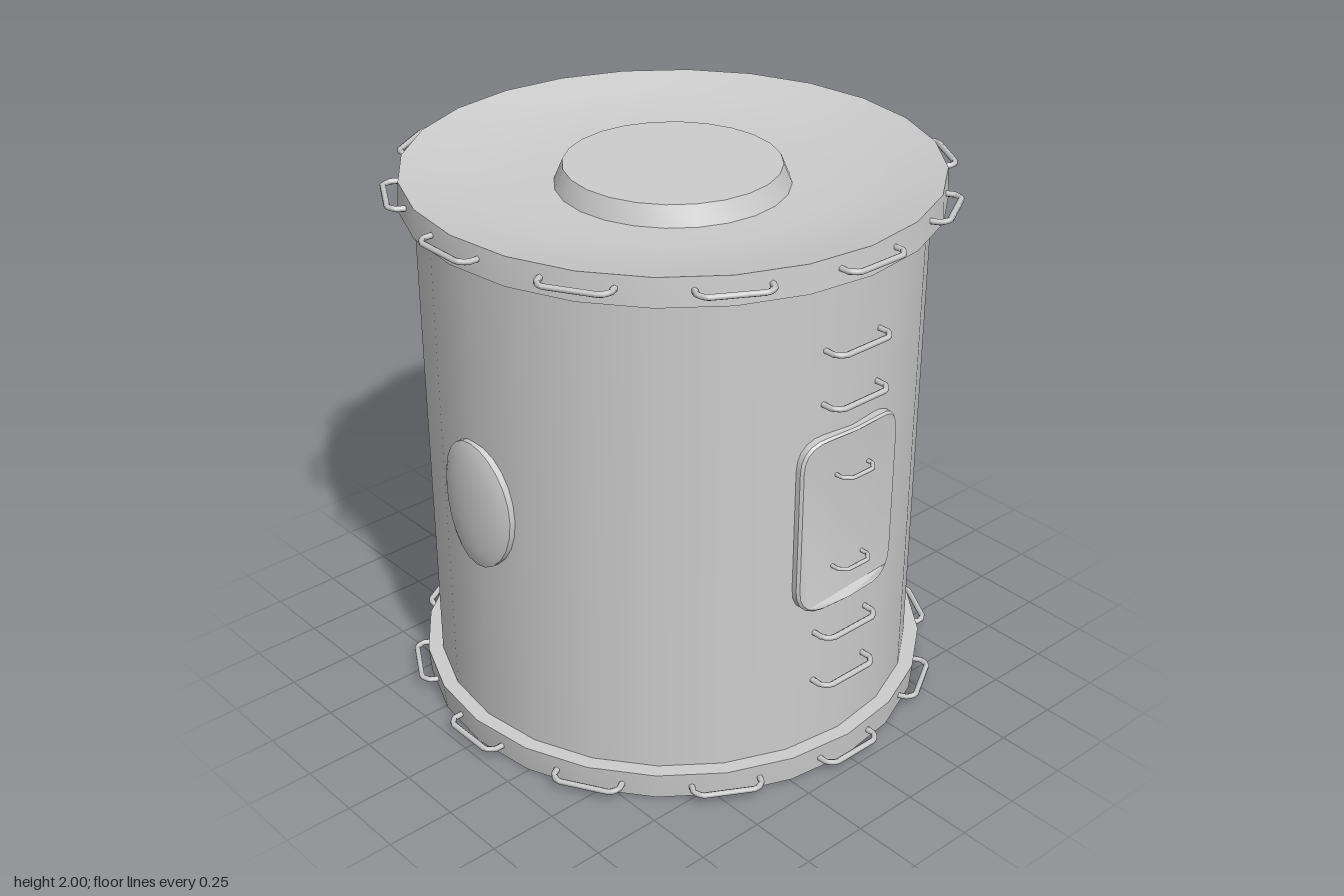
import * as THREE from 'three';
import { toCreasedNormals } from 'three/addons/utils/BufferGeometryUtils.js';

const SIDES = 24;
const BODY_R = 0.89;

export function createModel() {
  const model = new THREE.Group();
  model.name = 'stationModule';

  const hull = new THREE.MeshStandardMaterial({ name: 'hull grey', color: 0xcccccc });
  const pale = new THREE.MeshStandardMaterial({ name: 'pale panel grey', color: 0xdedede });

  const add = (parent, name, geometry, material = hull) => {
    const mesh = new THREE.Mesh(geometry, material);
    mesh.name = name;
    parent.add(mesh);
    return mesh;
  };

  const lathe = (profile) => toCreasedNormals(
    new THREE.LatheGeometry(profile.map(([r, y]) => new THREE.Vector2(r, y)), SIDES), 0.5);

  // Wraps a flat plate (x across, z = height above the hull) round the body
  const wrap = (geometry) => {
    const p = geometry.attributes.position;
    for (let i = 0; i < p.count; i++) {
      const x = p.getX(i);
      p.setZ(i, p.getZ(i) + Math.sqrt(BODY_R * BODY_R - x * x));
    }
    return toCreasedNormals(geometry, 0.5);
  };

  // Grab bar: a bent tube with chamfered corners, standing out along +z
  const barGeometry = (half, inner, outer, thickness) => {
    const points = [
      [-half, inner], [-half, outer - 0.025], [-half + 0.025, outer],
      [half - 0.025, outer], [half, outer - 0.025], [half, inner],
    ].map(([x, z]) => new THREE.Vector3(x, 0, z));
    const path = new THREE.CurvePath();
    for (let i = 1; i < points.length; i++) path.add(new THREE.LineCurve3(points[i - 1], points[i]));
    return new THREE.TubeGeometry(path, 24, thickness, 6, false);
  };

  // Cylindrical body
  add(model, 'body', new THREE.CylinderGeometry(BODY_R, BODY_R, 1.84, SIDES, 1, true)).position.y = 1;

  // End caps: flange, dished face and central hatch, with twelve grab bars
  const capGeometry = lathe([
    [0.87, 0.9], [0.945, 0.9], [0.937, 1], [0.9, 0.992], [0.8, 0.968],
    [0.68, 0.947], [0.55, 0.935], [0.41, 0.93], [0.38, 1], [0, 1],
  ]);
  const rimBar = barGeometry(0.122, 0.91, 0.983, 0.011);
  for (const [name, turn] of [['topCap', 0], ['bottomCap', Math.PI]]) {
    const cap = new THREE.Group();
    cap.name = name;
    cap.position.y = 1;
    cap.rotation.x = turn;
    add(cap, 'flangeAndHatch', capGeometry);
    for (let i = 0; i < 12; i++) {
      const bar = add(cap, 'rimGrabBar', rimBar);
      bar.position.y = 0.955;
      bar.rotation.y = (i * Math.PI) / 6;
    }
    model.add(cap);
  }

  // Front door: rounded plate bent to the hull, with a bevelled edge
  const w = 0.218, h = 0.328, r = 0.1;
  const outline = new THREE.Shape();
  outline.moveTo(-w + r, -h);
  outline.lineTo(0, -h);
  outline.lineTo(w - r, -h);
  outline.quadraticCurveTo(w, -h, w, -h + r);
  outline.lineTo(w, h - r);
  outline.quadraticCurveTo(w, h, w - r, h);
  outline.lineTo(0, h);
  outline.lineTo(-w + r, h);
  outline.quadraticCurveTo(-w, h, -w, h - r);
  outline.lineTo(-w, -h + r);
  outline.quadraticCurveTo(-w, -h, -w + r, -h);
  const door = new THREE.ExtrudeGeometry(outline, {
    depth: 0.035, curveSegments: 5, bevelEnabled: true,
    bevelThickness: 0.008, bevelSize: 0.008, bevelSegments: 1,
  });
  door.translate(0, 0, -0.016);
  add(model, 'frontDoor', wrap(door)).position.y = 1.005;

  // Ladder rungs above and below the door, and the two door handles
  const rung = barGeometry(0.124, 0.865, 0.94, 0.011);
  for (const y of [1.65, 1.455, 0.56, 0.36]) add(model, 'ladderRung', rung).position.y = y;
  const handle = barGeometry(0.072, 0.89, 0.948, 0.008);
  for (const y of [1.182, 0.823]) add(model, 'doorHandle', handle).position.y = y;

  // Oval domed ports on both sides
  for (const [name, side] of [['leftPort', 1], ['rightPort', -1]]) {
    const port = new THREE.LatheGeometry(
      [[1, -0.03], [1, 0.016], [0.9, 0.024], [0.7, 0.033], [0.4, 0.039], [0, 0.041]]
        .map(([a, b]) => new THREE.Vector2(a, b)), SIDES);
    port.rotateX(Math.PI / 2);
    port.scale(0.18, 0.24, 1);
    const mesh = add(model, name, wrap(port));
    mesh.position.y = 0.992;
    mesh.rotation.y = (side * Math.PI) / 2;
  }

  // Pale curved panel on the back, spanning two body facets
  const panel = new THREE.CylinderGeometry(
    BODY_R + 0.003, BODY_R + 0.003, 0.455, 2, 1, true, (5 * Math.PI) / 6, Math.PI / 6);
  add(model, 'backPanel', panel, pale).position.y = 1.005;

  return model;
}
